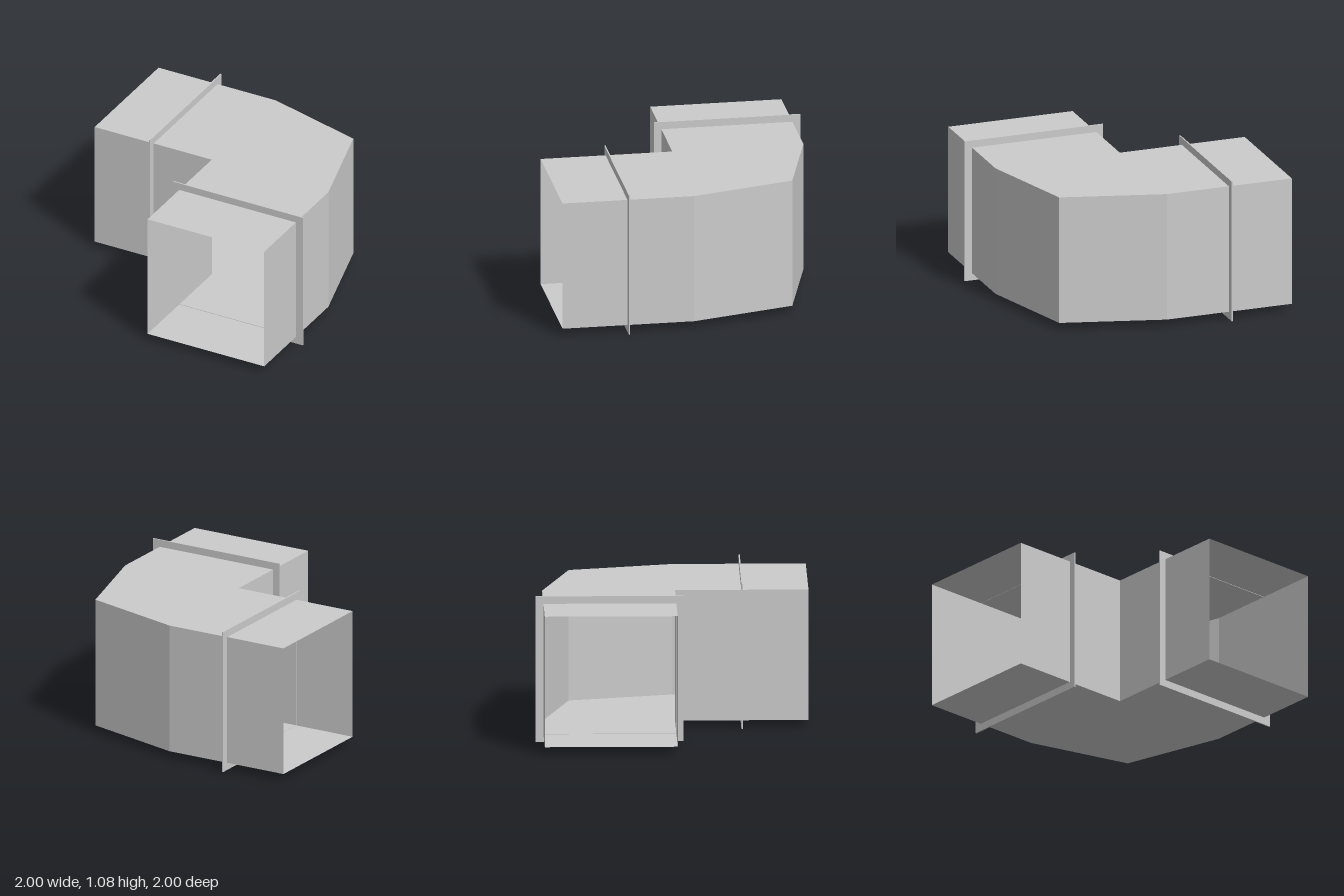
import * as THREE from 'three';

const IN = 0.027;              // inner wall offset (x = -IN, z = IN)
const OUT = 0.942;             // outer wall offset (x = OUT, z = -OUT)
const BOTTOM = 0.055, TOP = 1.025;
const JOINT = 0.515;           // distance of the flanges along each arm

const sheet = new THREE.MeshStandardMaterial({ color: 0xcccccc, flatShading: true, side: THREE.DoubleSide });

function addMesh(parent, name, geometry) {
  const mesh = new THREE.Mesh(geometry, sheet);
  mesh.name = name;
  parent.add(mesh);
  return mesh;
}

// Upright sheet following a plan path of [x, z] points
function wallGeometry(path) {
  const pos = [];
  for (let i = 0; i < path.length - 1; i++) {
    const [px, pz] = path[i], [qx, qz] = path[i + 1];
    pos.push(px, BOTTOM, pz, qx, BOTTOM, qz, qx, TOP, qz);
    pos.push(px, BOTTOM, pz, qx, TOP, qz, px, TOP, pz);
  }
  const g = new THREE.BufferGeometry();
  g.setAttribute('position', new THREE.Float32BufferAttribute(pos, 3));
  g.computeVertexNormals();
  return g;
}

// Open-ended duct piece: outer and inner wall, floor and roof (paths run anticlockwise from above)
function ductPiece(name, outer, inner) {
  const piece = new THREE.Group();
  piece.name = name;
  addMesh(piece, 'outerWall', wallGeometry(outer));
  addMesh(piece, 'innerWall', wallGeometry(inner));
  const shape = new THREE.Shape([...outer, ...inner].map(([x, z]) => new THREE.Vector2(x, -z)));
  addMesh(piece, 'roof', new THREE.ShapeGeometry(shape).rotateX(-Math.PI / 2).translate(0, TOP, 0));
  addMesh(piece, 'floor', new THREE.ShapeGeometry(shape).rotateX(-Math.PI / 2).scale(1, -1, 1).translate(0, BOTTOM, 0));
  return piece;
}

// Thin square frame around the duct, facing z
function flangeGeometry() {
  const rect = (x0, y0, x1, y1) => [[x0, y0], [x1, y0], [x1, y1], [x0, y1]].map(([x, y]) => new THREE.Vector2(x, y));
  const shape = new THREE.Shape(rect(-0.08, 0, 1, 1.08));
  const lip = 0.003;
  shape.holes.push(new THREE.Path(rect(-IN + lip, BOTTOM + lip, OUT - lip, TOP - lip).reverse()));
  return new THREE.ExtrudeGeometry(shape, { depth: 0.01, bevelEnabled: false }).translate(0, 0, JOINT - 0.005);
}

export function createModel() {
  const model = new THREE.Group();
  model.name = 'ductElbow';

  // Bend between the two flanges
  model.add(ductPiece('elbow',
    [[OUT, JOINT], [OUT, IN], [0.733, -0.733], [-IN, -OUT], [-JOINT, -OUT]],
    [[-JOINT, IN], [-IN, IN], [-IN, JOINT]]));

  // Straight end pieces
  model.add(ductPiece('frontDuct',
    [[OUT, 1], [OUT, JOINT]], [[-IN, JOINT], [-IN, 1]]));
  model.add(ductPiece('sideDuct',
    [[-JOINT, -OUT], [-1, -OUT]], [[-1, IN], [-JOINT, IN]]));

  // Flanges at both joints
  addMesh(model, 'frontFlange', flangeGeometry());
  addMesh(model, 'sideFlange', flangeGeometry().rotateY(Math.PI / 2).scale(-1, 1, 1).rotateY(0)
    .applyMatrix4(new THREE.Matrix4())).geometry = sideFlangeGeometry();

  return model;
}

// Second flange: the front one turned a quarter to face along x
function sideFlangeGeometry() {
  return flangeGeometry().translate(0, 0, -2 * JOINT).rotateY(Math.PI / 2);
}
